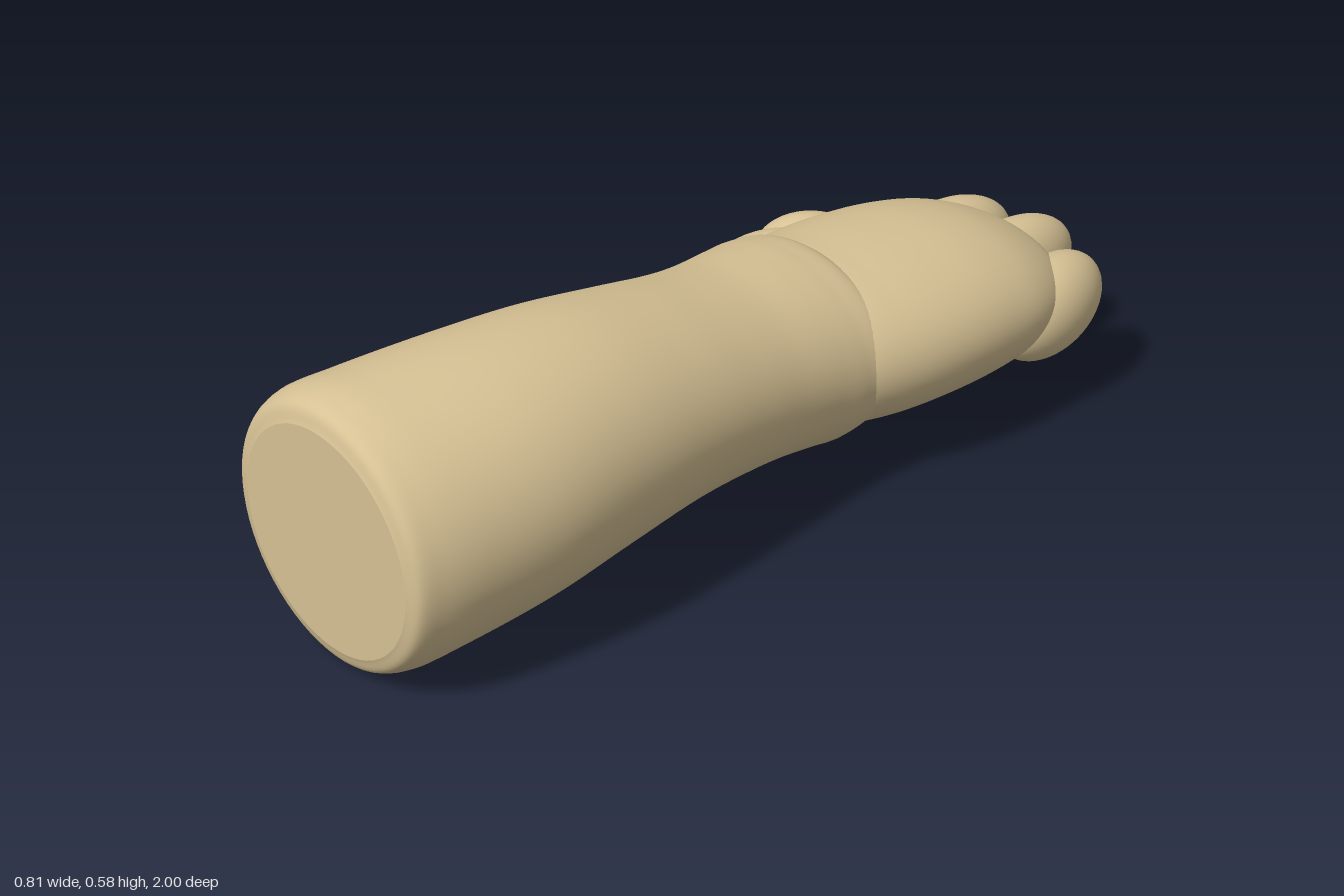
import * as THREE from 'three';

const skin = new THREE.MeshStandardMaterial({ color: 0xd6c194 });
skin.name = 'skin';

// Smooth tube through elliptical sections [z, xMin, xMax, yMin, yMax], from front to back
function loft(sections, name, sides = 64, steps = 8) {
  const low = new THREE.CatmullRomCurve3(sections.map(s => new THREE.Vector3(s[1], s[3], s[0])));
  const high = new THREE.CatmullRomCurve3(sections.map(s => new THREE.Vector3(s[2], s[4], s[0])));
  const rings = (sections.length - 1) * steps;
  const positions = [];
  const index = [];
  for (let i = 0; i <= rings; i++) {
    const a = low.getPoint(i / rings);
    const b = high.getPoint(i / rings);
    for (let j = 0; j < sides; j++) {
      const t = (j / sides) * Math.PI * 2;
      positions.push(
        (a.x + b.x) / 2 + Math.cos(t) * (b.x - a.x) / 2,
        (a.y + b.y) / 2 + Math.sin(t) * (b.y - a.y) / 2,
        (a.z + b.z) / 2);
      if (i < rings) {
        const p = i * sides + j;
        const q = i * sides + (j + 1) % sides;
        index.push(p, p + sides, q, q, p + sides, q + sides);
      }
    }
  }
  const geometry = new THREE.BufferGeometry();
  geometry.setAttribute('position', new THREE.Float32BufferAttribute(positions, 3));
  geometry.setIndex(index);
  geometry.computeVertexNormals();
  const mesh = new THREE.Mesh(geometry, skin);
  mesh.name = name;
  return mesh;
}

// Rounded lobe: centre, radii, then pitch and turn of its long z axis
function lobe(name, center, radii, pitch = 0, turn = 0) {
  const mesh = new THREE.Mesh(new THREE.SphereGeometry(1, 40, 28), skin);
  mesh.name = name;
  mesh.position.set(...center);
  mesh.scale.set(...radii);
  mesh.rotation.set(pitch, turn, 0, 'YXZ');
  return mesh;
}

export function createModel() {
  const model = new THREE.Group();
  model.name = 'forearmAndHand';

  // Forearm, swelling toward the cut end and closing in a rounded wrist cuff
  model.add(loft([
    [1.0, -0.16, 0.33, 0.05, 0.51],
    [0.985, -0.198, 0.36, 0.018, 0.545],
    [0.94, -0.22, 0.375, 0.003, 0.563],
    [0.85, -0.208, 0.39, 0.015, 0.573],
    [0.65, -0.173, 0.405, 0.048, 0.584],
    [0.45, -0.15, 0.39, 0.08, 0.575],
    [0.25, -0.143, 0.363, 0.1, 0.54],
    [0.1, -0.15, 0.342, 0.095, 0.508],
    [0, -0.165, 0.33, 0.083, 0.492],
    [-0.1, -0.185, 0.325, 0.066, 0.486],
    [-0.17, -0.2, 0.325, 0.056, 0.48],
    [-0.24, -0.195, 0.32, 0.08, 0.464],
    [-0.29, -0.13, 0.26, 0.15, 0.4],
  ], 'forearm'));

  // Flat cut end of the forearm
  const end = new THREE.Mesh(new THREE.CircleGeometry(1, 64), skin);
  end.name = 'forearmEnd';
  end.position.set(0.085, 0.28, 1);
  end.scale.set(0.245, 0.23, 1);
  model.add(end);

  // Palm and back of the hand
  model.add(loft([
    [-0.12, -0.15, 0.28, 0.12, 0.41],
    [-0.2, -0.19, 0.33, 0.09, 0.452],
    [-0.3, -0.2, 0.362, 0.083, 0.457],
    [-0.42, -0.2, 0.378, 0.085, 0.456],
    [-0.54, -0.185, 0.378, 0.09, 0.448],
    [-0.65, -0.165, 0.365, 0.105, 0.425],
    [-0.74, -0.135, 0.33, 0.13, 0.388],
    [-0.8, -0.08, 0.28, 0.16, 0.35],
    [-0.835, 0, 0.2, 0.2, 0.305],
    [-0.845, 0.1, 0.102, 0.25, 0.252],
  ], 'palm'));

  // Three stubby fingers
  model.add(lobe('innerFinger', [-0.07, 0.225, -0.8], [0.09, 0.105, 0.177], 0.08, -0.1));
  model.add(lobe('middleFinger', [0.105, 0.235, -0.82], [0.085, 0.105, 0.18], 0.05));
  model.add(lobe('outerFinger', [0.275, 0.225, -0.76], [0.09, 0.103, 0.168], 0.12, 0.2));

  // Thumb: fleshy base, knuckle and tip
  model.add(lobe('thumbBase', [-0.12, 0.215, -0.36], [0.135, 0.13, 0.21], 0, 0.15));
  model.add(lobe('thumbKnuckle', [-0.245, 0.205, -0.47], [0.092, 0.1, 0.16], 0, -0.65));
  model.add(lobe('thumbTip', [-0.303, 0.193, -0.61], [0.077, 0.088, 0.125], 0, -0.72));

  return model;
}
